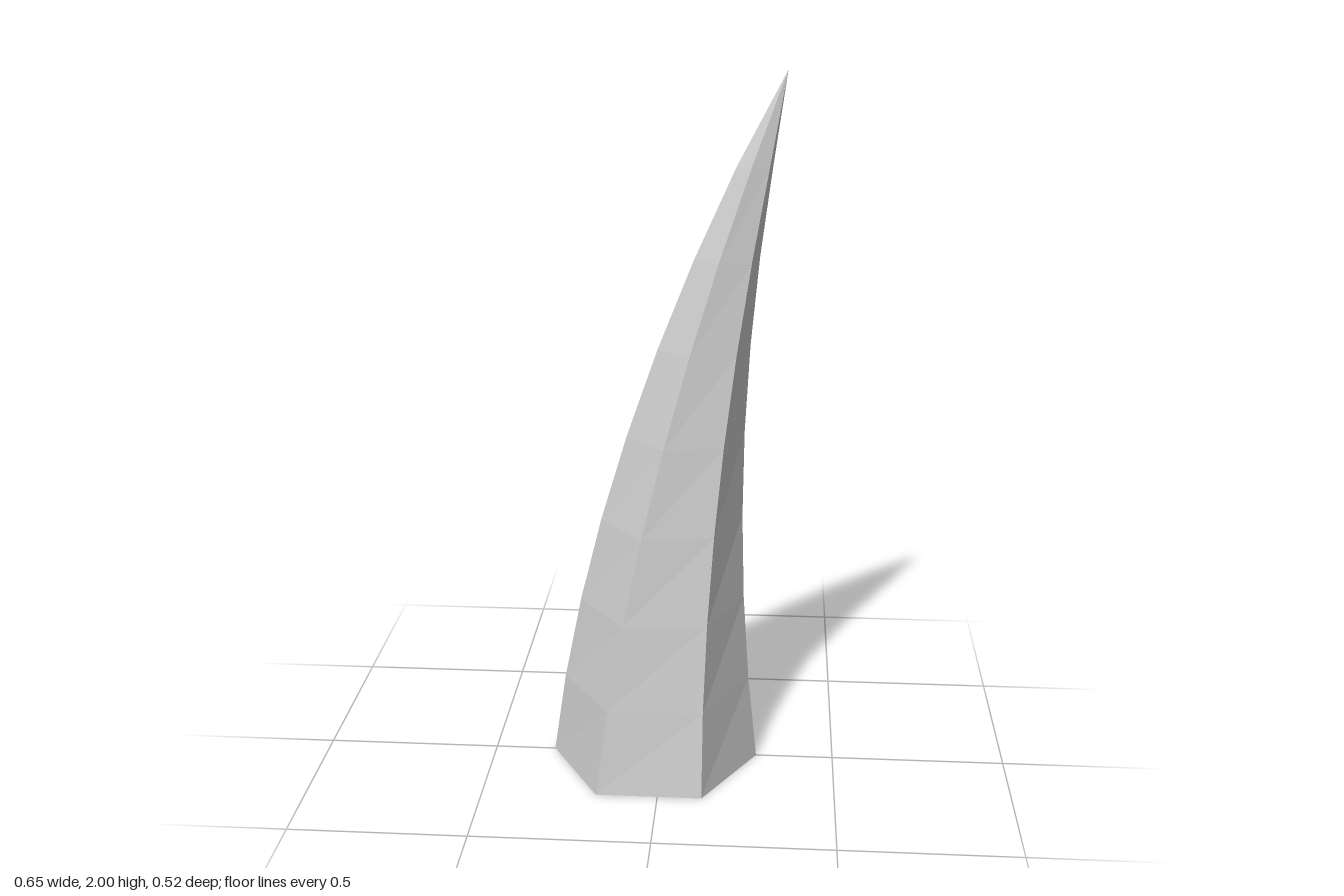
import * as THREE from 'three';

const HEIGHT = 2;
const BASE_RADIUS = 0.3;
const BEND = 0.35;   // sideways travel of the tip
const TWIST = 0.4;   // total turn in radians
const TAPER = 0.85;  // below 1 swells the middle slightly

export function createModel() {
  const group = new THREE.Group();
  group.name = 'curvedHorn';
  const hornGrey = new THREE.MeshStandardMaterial({ color: 0xcccccc });
  hornGrey.name = 'hornGrey';

  // Six-sided spike with corners on the x axis, closed at the base
  const spike = new THREE.CylinderGeometry(0, BASE_RADIUS, HEIGHT, 6, 8, false, Math.PI / 2);
  spike.translate(0, HEIGHT / 2, 0);

  // Swell, twist and bend each ring according to its height
  const p = spike.attributes.position;
  for (let i = 0; i < p.count; i++) {
    const t = Math.min(1, p.getY(i) / HEIGHT);
    const swell = t < 1 ? Math.pow(1 - t, TAPER - 1) : 0;
    const x = p.getX(i) * swell;
    const z = p.getZ(i) * swell;
    const c = Math.cos(TWIST * t);
    const s = Math.sin(TWIST * t);
    p.setX(i, c * x + s * z + BEND * t * t - 0.025);
    p.setZ(i, c * z - s * x);
  }

  // Faceted normals
  const faceted = spike.toNonIndexed();
  faceted.clearGroups();
  faceted.computeVertexNormals();

  const horn = new THREE.Mesh(faceted, hornGrey);
  horn.name = 'horn';
  group.add(horn);
  return group;
}
